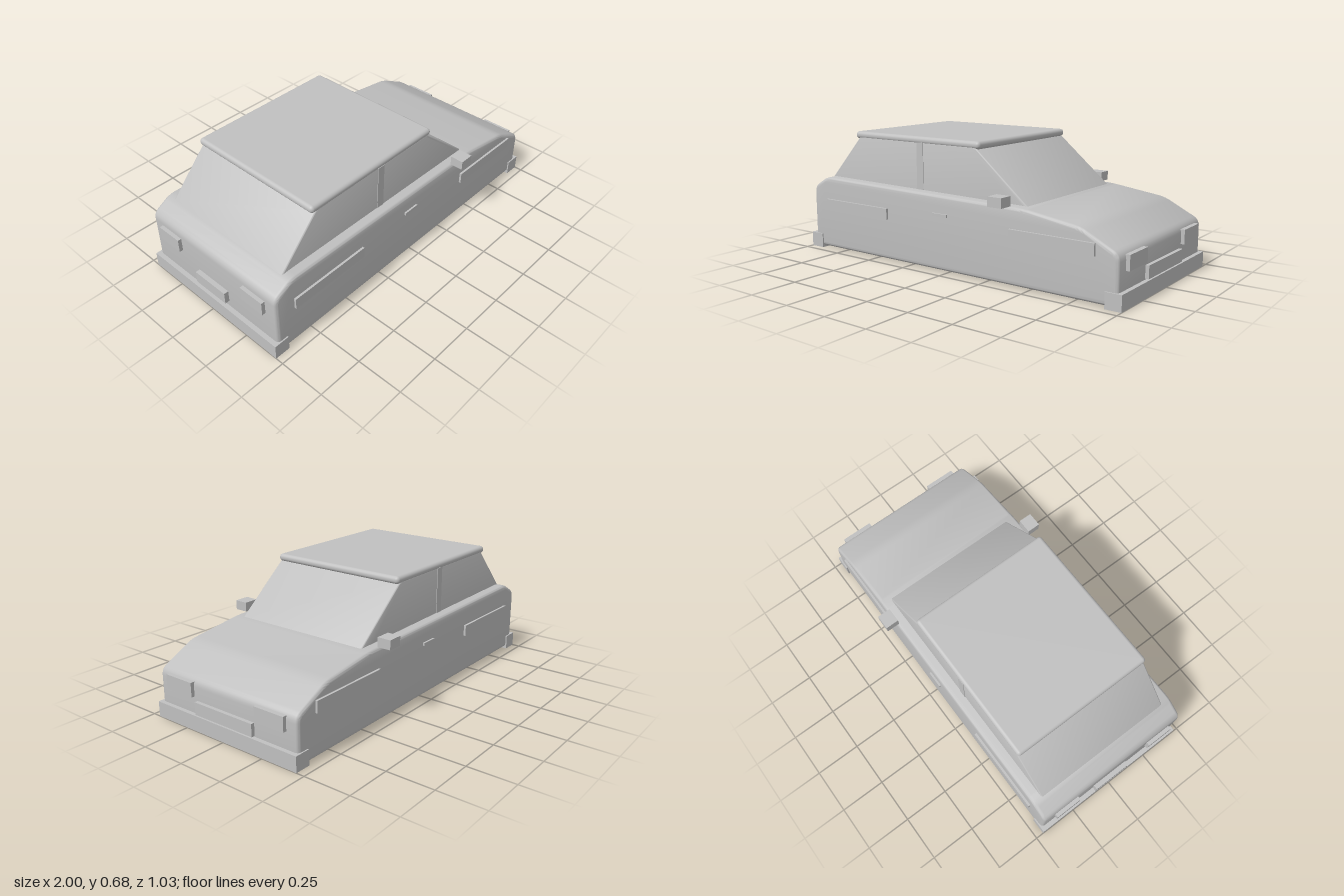
import * as THREE from 'three';
import { toCreasedNormals } from 'three/addons/utils/BufferGeometryUtils.js';
import { RoundedBoxGeometry } from 'three/addons/geometries/RoundedBoxGeometry.js';

const grey = new THREE.MeshStandardMaterial({ color: 0xc0c0c0 });
grey.name = 'bodyGrey';

// Side outline with softened corners, as a shape
function softShape(points, cut) {
  const p = points.map(([x, y]) => new THREE.Vector2(x, y));
  const shape = new THREE.Shape();
  p.forEach((c, i) => {
    const prev = p[(i + p.length - 1) % p.length];
    const next = p[(i + 1) % p.length];
    const a = c.clone().add(prev.clone().sub(c).setLength(cut));
    const b = c.clone().add(next.clone().sub(c).setLength(cut));
    if (i === 0) shape.moveTo(a.x, a.y);
    else shape.lineTo(a.x, a.y);
    shape.quadraticCurveTo(c.x, c.y, b.x, b.y);
  });
  shape.closePath();
  return shape;
}

// Side outline extruded across the car with rounded edges
function hull(points, halfWidth, bevel, cut) {
  const depth = 2 * (halfWidth - bevel);
  const geo = new THREE.ExtrudeGeometry(softShape(points, cut), {
    depth, curveSegments: 5, bevelEnabled: true, bevelThickness: bevel,
    bevelSize: bevel, bevelOffset: -bevel, bevelSegments: 5,
  });
  geo.translate(0, 0, -depth / 2);
  return toCreasedNormals(geo, 0.55);
}

export function createModel() {
  const car = new THREE.Group();
  car.name = 'car';

  const add = (name, geo) => {
    const mesh = new THREE.Mesh(geo, grey);
    mesh.name = name;
    car.add(mesh);
  };
  // Box given by its limits
  const box = (name, x0, x1, y0, y1, z0, z1) => {
    const geo = new THREE.BoxGeometry(x1 - x0, y1 - y0, z1 - z0);
    geo.translate((x0 + x1) / 2, (y0 + y1) / 2, (z0 + z1) / 2);
    add(name, geo);
  };
  // The same box on both sides of the car
  const pair = (name, x0, x1, y0, y1, z0, z1) => {
    box(name + 'Left', x0, x1, y0, y1, -z1, -z0);
    box(name + 'Right', x0, x1, y0, y1, z0, z1);
  };

  // Lower body
  add('body', hull([
    [-0.975, 0.01], [0.978, 0.01], [0.978, 0.253], [0.78, 0.352],
    [0.46, 0.395], [-0.87, 0.414], [-0.975, 0.353],
  ], 0.45, 0.02, 0.035));

  // Cabin with sloping windscreen and rear window
  add('cabin', hull([
    [-0.885, 0.3], [0.475, 0.3], [0.475, 0.382], [0.145, 0.655],
    [-0.645, 0.655], [-0.885, 0.397],
  ], 0.395, 0.01, 0.015));

  // Roof panel
  const roof = new RoundedBoxGeometry(0.855, 0.04, 0.795, 4, 0.019);
  roof.translate(-0.252, 0.66, 0);
  add('roof', roof);

  // Door pillars, mirrors, handles and side trim
  pair('pillar', -0.23, -0.187, 0.39, 0.65, 0.38, 0.398);
  pair('mirror', 0.315, 0.396, 0.395, 0.445, 0.44, 0.513);
  pair('doorHandle', -0.077, 0.016, 0.292, 0.308, 0.44, 0.46);
  pair('rearSideTrim', -0.861, -0.396, 0.23, 0.29, 0.44, 0.462);
  pair('frontSideTrim', 0.398, 0.861, 0.23, 0.29, 0.44, 0.462);

  // Bumpers
  box('frontBumper', 0.915, 1, 0, 0.08, -0.457, 0.457);
  box('rearBumper', -1, -0.915, 0, 0.08, -0.457, 0.457);

  // Lights, grille and rear plate
  pair('headlight', 0.96, 0.997, 0.168, 0.243, 0.207, 0.384);
  pair('tailLight', -0.995, -0.96, 0.233, 0.307, 0.23, 0.378);
  box('grille', 0.96, 0.997, 0.085, 0.15, -0.188, 0.188);
  box('rearPlate', -1, -0.96, 0.115, 0.18, -0.108, 0.108);

  return car;
}
